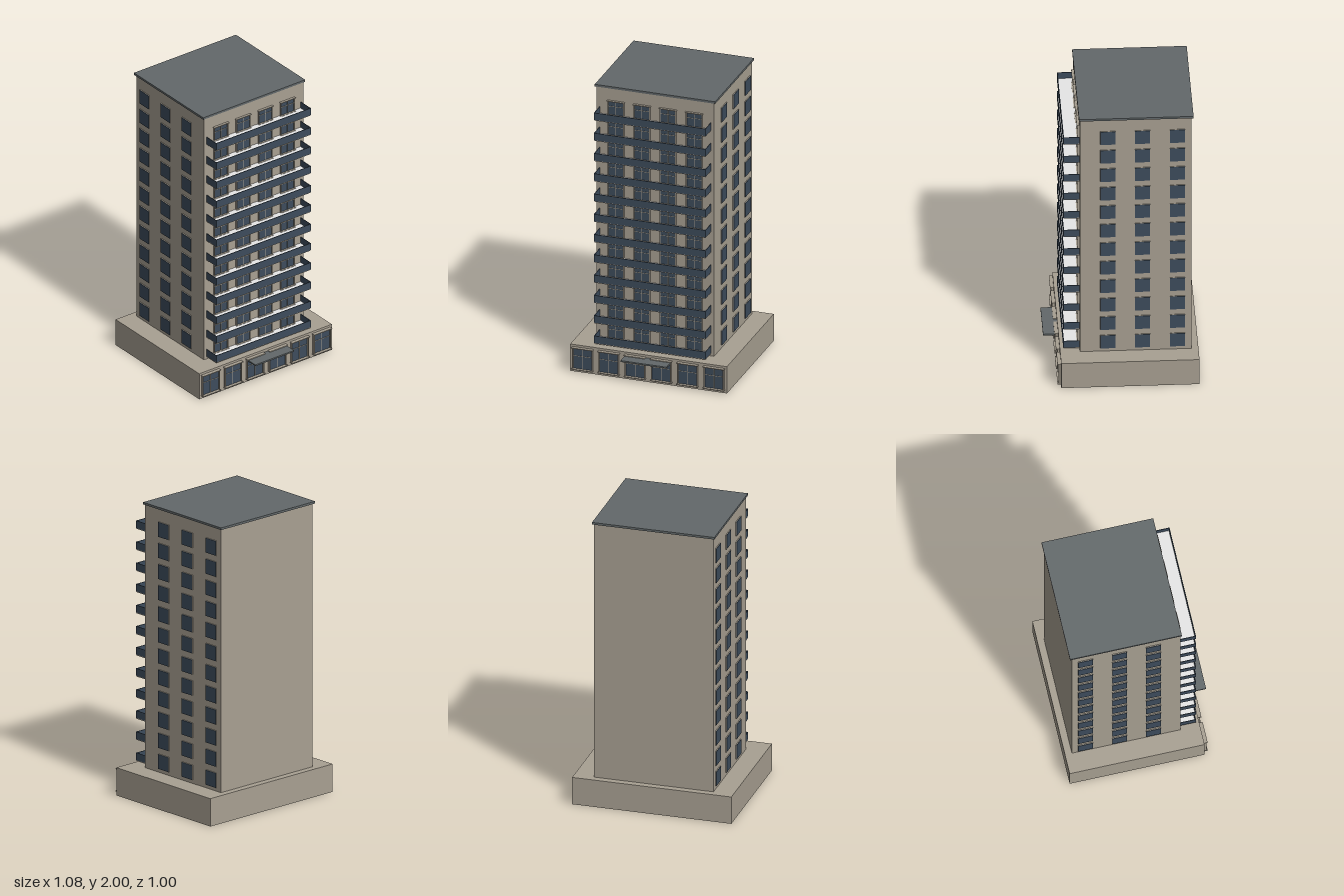
import * as THREE from 'three';

const material = (name, color) => {
  const m = new THREE.MeshStandardMaterial({ color });
  m.name = name;
  return m;
};

export function createModel() {
  const wall = material('beige wall', 0xa8a092);
  const glass = material('blue glass', 0x3d4c5c);
  const roofGrey = material('roof grey', 0x62686a);
  const floorWhite = material('white floor', 0xfafafa);

  const root = new THREE.Group();
  root.name = 'apartmentTower';

  // Box given by its lower and upper limits on each axis
  const box = (parent, name, mat, [x0, x1], [y0, y1], [z0, z1]) => {
    const mesh = new THREE.Mesh(new THREE.BoxGeometry(x1 - x0, y1 - y0, z1 - z0), mat);
    mesh.position.set((x0 + x1) / 2, (y0 + y1) / 2, (z0 + z1) / 2);
    mesh.name = name;
    parent.add(mesh);
    return mesh;
  };

  // Framed front window: glass, jambs, head, sill and glazing bars
  const frontWindow = (name, x, y, z, w, h, depth) => {
    const g = new THREE.Group();
    g.name = name;
    g.position.set(x, y, z);
    const t = 0.005, a = w / 2;
    box(g, 'pane', glass, [-a + t, a - t], [t, h - t], [0, 0.004]);
    for (const s of [-1, 1]) {
      const c = s * (a - t / 2);
      box(g, 'jamb', wall, [c - t / 2, c + t / 2], [0, h], [0, depth * 0.65]);
    }
    box(g, 'head', wall, [-a - 0.004, a + 0.004], [h - t, h], [0, depth]);
    box(g, 'sill', wall, [-a - 0.004, a + 0.004], [0, t], [0, depth]);
    box(g, 'mullion', wall, [-0.0015, 0.0015], [t, h - t], [0, 0.007]);
    box(g, 'transom', wall, [-a + t, a - t], [h * 0.6, h * 0.6 + 0.003], [0, 0.007]);
    root.add(g);
  };

  // Main masses
  box(root, 'podium', wall, [-0.54, 0.54], [0, 0.19], [-0.498, 0.4]);
  box(root, 'tower', wall, [-0.405, 0.405], [0.19, 1.985], [-0.452, 0.272]);
  box(root, 'roof', roofGrey, [-0.415, 0.415], [1.985, 2], [-0.466, 0.278]);

  // Shop windows and entrance canopy
  for (let i = 0; i < 6; i++) {
    frontWindow('shopWindow', (i - 2.5) * 0.181, 0.02, 0.4, 0.138, 0.155, 0.024);
  }
  box(root, 'canopy', roofGrey, [-0.158, 0.158], [0.16, 0.17], [0.4, 0.498]);

  for (let floor = 0; floor < 12; floor++) {
    const y = 0.206 + floor * 0.1438;

    // Balcony with slab, floor and solid rail
    const balcony = new THREE.Group();
    balcony.name = 'balcony';
    box(balcony, 'slab', wall, [-0.383, 0.383], [y, y + 0.008], [0.272, 0.376]);
    box(balcony, 'floorFinish', floorWhite, [-0.381, 0.381], [y + 0.008, y + 0.011], [0.272, 0.374]);
    box(balcony, 'frontRail', glass, [-0.385, 0.385], [y + 0.006, y + 0.056], [0.374, 0.379]);
    for (const s of [-1, 1]) {
      const c = s * 0.383;
      box(balcony, 'sideRail', glass, [c - 0.002, c + 0.002], [y + 0.006, y + 0.056], [0.272, 0.374]);
    }
    root.add(balcony);

    // Balcony windows
    for (let i = 0; i < 4; i++) {
      frontWindow('balconyWindow', (i - 1.5) * 0.18, y + 0.008, 0.272, 0.113, 0.104, 0.017);
    }

    // Side windows: shallow surround with a glass face
    for (const s of [-1, 1]) {
      for (const z of [0.09, -0.135, -0.362]) {
        const span = (a, b) => (s > 0 ? [a, b] : [-b, -a]);
        box(root, 'sideSurround', wall, span(0.405, 0.41), [y + 0.008, y + 0.109], [z - 0.05, z + 0.05]);
        box(root, 'sideGlass', glass, span(0.41, 0.413), [y + 0.009, y + 0.108], [z - 0.049, z + 0.049]);
      }
    }
  }
  return root;
}
